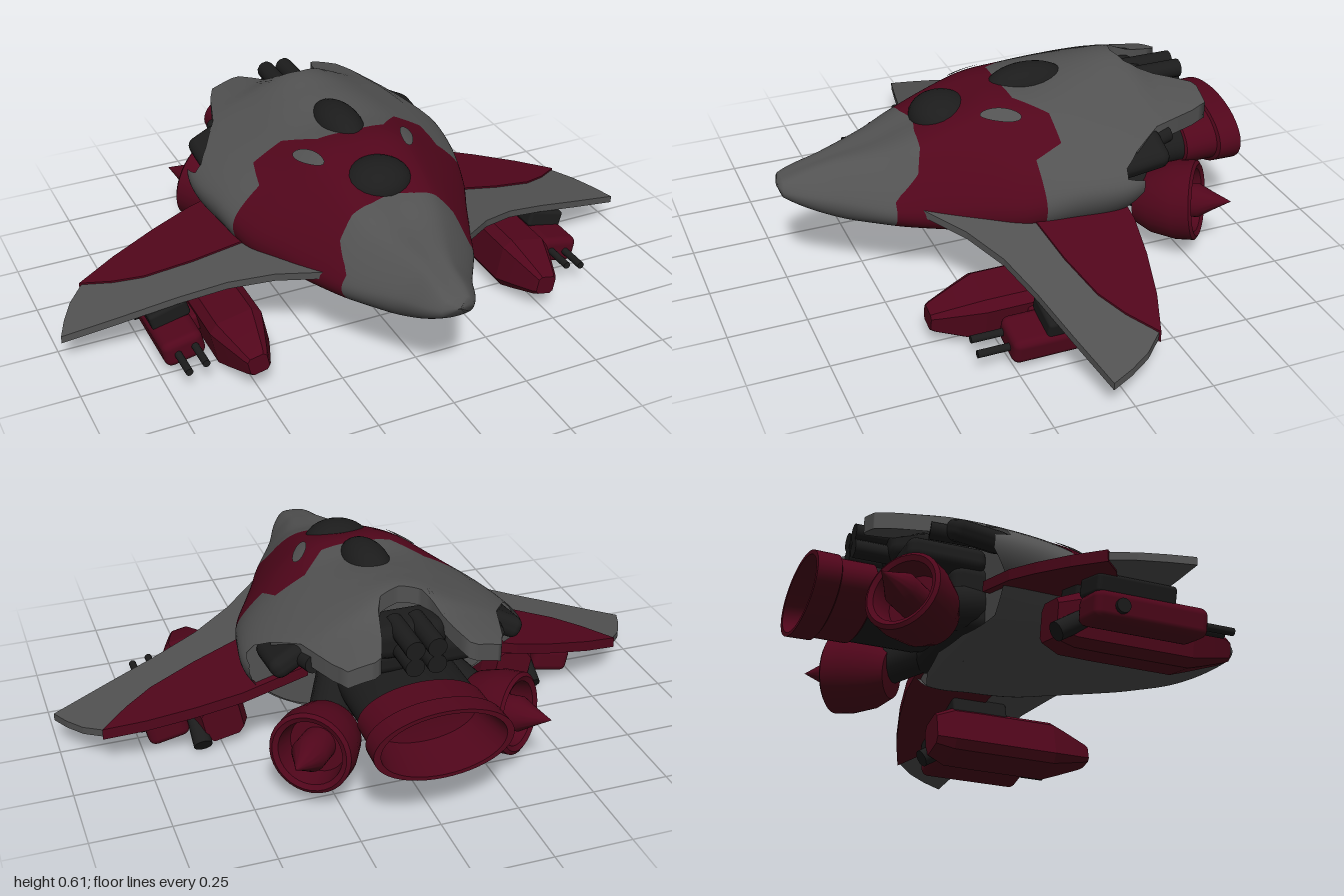
import * as THREE from 'three';
import { ParametricGeometry } from 'three/addons/geometries/ParametricGeometry.js';
import { RoundedBoxGeometry } from 'three/addons/geometries/RoundedBoxGeometry.js';
import { toCreasedNormals } from 'three/addons/utils/BufferGeometryUtils.js';

const paint = (name, color) => new THREE.MeshStandardMaterial({ name, color, side: THREE.DoubleSide });

// Hull stations: z, top y, shoulder x y, widest x y, lower x y, bottom y
const STATIONS = [
  [0.76, 0.36, 0, 0.36, 0, 0.36, 0, 0.36, 0.36],
  [0.75, 0.385, 0.035, 0.38, 0.052, 0.355, 0.04, 0.335, 0.33],
  [0.60, 0.425, 0.06, 0.415, 0.13, 0.33, 0.10, 0.265, 0.25],
  [0.45, 0.455, 0.11, 0.44, 0.22, 0.31, 0.16, 0.235, 0.222],
  [0.35, 0.49, 0.14, 0.47, 0.265, 0.31, 0.20, 0.225, 0.21],
  [0.20, 0.54, 0.16, 0.52, 0.33, 0.33, 0.26, 0.215, 0.19],
  [0.08, 0.583, 0.18, 0.545, 0.385, 0.34, 0.30, 0.205, 0.175],
  [-0.07, 0.582, 0.20, 0.545, 0.425, 0.37, 0.31, 0.20, 0.163],
  [-0.25, 0.608, 0.20, 0.55, 0.45, 0.38, 0.30, 0.20, 0.16],
  [-0.39, 0.618, 0.18, 0.555, 0.41, 0.42, 0.30, 0.30, 0.25],
  [-0.47, 0.575, 0.175, 0.54, 0.37, 0.445, 0.28, 0.36, 0.32],
  [-0.61, 0.54, 0.18, 0.515, 0.33, 0.455, 0.25, 0.42, 0.40],
];

// Smooth interpolation of the station table at any z
function stationAt(z) {
  const S = STATIONS, n = S.length;
  let i = 0;
  while (i < n - 2 && z < S[i + 1][0]) i++;
  const h = S[i + 1][0] - S[i][0], t = THREE.MathUtils.clamp((z - S[i][0]) / h, 0, 1);
  const slope = (k, c) => {
    const a = S[Math.max(k - 1, 0)], b = S[Math.min(k + 1, n - 1)];
    return (b[c] - a[c]) / (b[0] - a[0]) * h;
  };
  const t2 = t * t, t3 = t2 * t;
  return S[i].map((p, c) => (2 * t3 - 3 * t2 + 1) * p + (t3 - 2 * t2 + t) * slope(i, c)
    + (3 * t2 - 2 * t3) * S[i + 1][c] + (t3 - t2) * slope(i + 1, c));
}

// Point on the hull: v = 0 top centre, 1 shoulder, 2 widest, 3 lower edge, 4 keel; negative on the right
function hullPoint(z, v, target) {
  let a = Math.abs(v), sign = v < 0 ? -1 : 1;
  if (a > 4) { a = 8 - a; sign = -sign; }
  const s = stationAt(z);
  const pts = [[-s[2], s[3]], [0, s[1]], [s[2], s[3]], [s[4], s[5]], [s[6], s[7]], [0, s[8]], [-s[6], s[7]]];
  const i = Math.min(Math.floor(a), 3), t = a - i;
  const cr = (c) => {
    const [p, q, r, w] = [0, 1, 2, 3].map((k) => pts[i + k][c]);
    return q + 0.5 * t * (r - p + t * (2 * p - 5 * q + 4 * r - w + t * (3 * (q - r) + w - p)));
  };
  return target.set(sign * cr(0), cr(1), z);
}

// Panel edge: piecewise linear z against |v|
const edge = (table) => (v) => {
  let a = Math.abs(v);
  if (a > 4) a = 8 - a;
  const i = Math.max(1, table.findIndex((p) => p[0] >= a));
  const [p, q] = [table[i - 1], table[i]];
  return p[1] + (q[1] - p[1]) * (a - p[0]) / (q[0] - p[0]);
};
const noseEdge = edge([[0, 0.31], [0.5, 0.33], [1, 0.335], [1.375, 0.36], [1.625, 0.42], [1.75, 0.44], [4, 0.445]]);
const midEdge = edge([[0, 0.03], [0.625, 0.02], [1, -0.07], [1.375, -0.07], [1.5, 0.02], [4, 0.02]]);
const tailEdge = edge([[0, -0.37], [0.375, -0.39], [0.5, -0.43], [0.625, -0.53], [0.75, -0.6], [0.875, -0.61],
  [1.3125, -0.6], [1.4375, -0.54], [1.5, -0.39], [1.625, -0.29], [1.75, -0.24], [1.875, -0.235], [2, -0.29],
  [2.25, -0.29], [2.5, -0.24], [3, -0.23], [3.5, -0.28], [4, -0.3]]);

export function createModel() {
  const red = paint('crimson', 0x51061b), grey = paint('hullGrey', 0x525252), dark = paint('darkMetal', 0x1c1c1c);
  const model = new THREE.Group();

  const add = (parent, name, geo, mat, pos = [0, 0, 0], rotZ = 0) => {
    const m = new THREE.Mesh(geo, mat);
    m.name = name;
    m.position.set(...pos);
    m.rotation.z = rotZ;
    parent.add(m);
    return m;
  };
  const panel = (name, mat, v0, v1, front, back, stacks, drop = 0) =>
    add(model, name, new ParametricGeometry((u, t, p) => {
      const v = v0 + (v1 - v0) * u;
      hullPoint(front(v) + (back(v) - front(v)) * t, v, p);
      p.y -= drop;
    }, Math.round((v1 - v0) * 16), stacks), mat);
  const ellipsoid = (name, mat, pos, r) =>
    add(model, name, new THREE.SphereGeometry(1, 24, 16).scale(...r), mat, pos);
  const turned = (profile, segments = 32) =>
    toCreasedNormals(new THREE.LatheGeometry(profile.map((p) => new THREE.Vector2(...p)), segments), 0.6);
  const block = (w, h, d, r = 0.012) => new RoundedBoxGeometry(w, h, d, 2, r);
  const rod = (parent, name, mat, a, b, r, sides = 14) => {
    const from = new THREE.Vector3(...a), dir = new THREE.Vector3(...b).sub(from);
    const m = add(parent, name, new THREE.CylinderGeometry(r, r, dir.length(), sides), mat);
    m.position.copy(from).addScaledVector(dir, 0.5);
    m.quaternion.setFromUnitVectors(new THREE.Vector3(0, 1, 0), dir.normalize());
    return m;
  };

  // Hull skin
  panel('nose', grey, -4, 4, () => 0.76, noseEdge, 28);
  panel('forwardArmour', red, -3, 3, noseEdge, midEdge, 20);
  panel('belly', grey, 3, 5, noseEdge, midEdge, 16);
  panel('rearHull', grey, -4, 4, midEdge, tailEdge, 28);
  // Underside and rim give the tail cowl thickness
  const cowlDepth = 0.055;
  panel('cowlLining', grey, -1.625, 1.625, () => -0.24, tailEdge, 16, cowlDepth);
  add(model, 'cowlRim', new ParametricGeometry((u, t, p) => {
    const v = -1.625 + 3.25 * u;
    hullPoint(tailEdge(v), v, p);
    p.y -= cowlDepth * t;
  }, 52, 1), grey);

  // Rear bulkhead and machinery
  const p = new THREE.Vector3();
  const outline = Array.from({ length: 49 }, (_, i) => {
    hullPoint(-0.225, 1 + i / 8, p);
    return new THREE.Vector2(p.x, p.y);
  });
  add(model, 'bulkhead', new THREE.ShapeGeometry(new THREE.Shape(outline)).rotateY(Math.PI)
    .scale(0.99, 1, 1), grey, [0, 0, -0.225]);
  add(model, 'rearFrame', block(0.42, 0.22, 0.16, 0.04), dark, [0, 0.295, -0.25]);
  add(model, 'cowlMachinery', block(0.44, 0.08, 0.26, 0.03), dark, [0, 0.425, -0.35]);
  add(model, 'cannonHub', block(0.23, 0.11, 0.15, 0.04), dark, [0, 0.495, -0.425]);

  // Dark domes along the spine
  ellipsoid('cockpit', dark, [0, 0.497, 0.215], [0.112, 0.076, 0.105]);
  ellipsoid('spineCanopy', dark, [0, 0.555, -0.075], [0.076, 0.07, 0.14]);

  // Main engine, flattened
  const engine = (profile) => turned(profile, 48).rotateX(-Math.PI / 2).scale(1, 0.52, 1);
  add(model, 'engineBody', engine([[0, 0.22], [0.16, 0.25], [0.19, 0.35], [0.19, 0.57]]), dark, [0, 0.3, 0]);
  add(model, 'mainNozzle', engine([[0.18, 0.56], [0.2, 0.57], [0.2, 0.68], [0.215, 0.685], [0.217, 0.76],
    [0.195, 0.76], [0.165, 0.6], [0, 0.585]]), red, [0, 0.3, 0]);

  // Mirrored parts
  const wingPlate = (pts, thick) => {
    const shape = new THREE.Shape(pts.map(([x, z]) => new THREE.Vector2(x, -z)));
    const g = new THREE.ExtrudeGeometry(shape, { depth: thick, bevelEnabled: false }).rotateX(-Math.PI / 2);
    const pos = g.attributes.position;
    for (let i = 0; i < pos.count; i++) {
      pos.setY(i, pos.getY(i) - thick / 2 + 0.31 - 0.275 * (pos.getX(i) - 0.25));
    }
    g.computeVertexNormals();
    return g;
  };
  // Square body with chamfered corners and a tapered nose
  const podBody = () => {
    const g = new THREE.LatheGeometry([[0, -0.14], [0.07, -0.14], [0.096, -0.08], [0.098, 0.02], [0.098, 0.29],
      [0.08, 0.34], [0.045, 0.43], [0.036, 0.445], [0, 0.445]].map((q) => new THREE.Vector2(...q)), 8, Math.PI / 8)
      .rotateX(Math.PI / 2);
    const pos = g.attributes.position;
    for (let i = 0; i < pos.count; i++) {
      const x = pos.getX(i), y = pos.getY(i);
      if (Math.abs(x) < Math.abs(y)) pos.setX(i, x * 1.65);
      else pos.setY(i, y * 1.65);
    }
    return toCreasedNormals(g, 0.3);
  };
  for (const side of [1, -1]) {
    const half = new THREE.Group();
    half.name = side > 0 ? 'leftSide' : 'rightSide';
    half.scale.x = side;
    model.add(half);

    // Wing
    add(half, 'wingLeadingEdge', wingPlate([[0.2, 0.41], [0.25, 0.37], [0.37, 0.27], [0.5, 0.2], [0.65, 0.155],
      [0.82, 0.115], [1, 0.07], [0.97, 0], [0.93, -0.07], [0.875, -0.13], [0.79, -0.07], [0.7, -0.02],
      [0.55, 0.02], [0.37, 0.05], [0.2, 0.07]], 0.024), grey);
    add(half, 'wingPanel', wingPlate([[0.2, 0.08], [0.37, 0.055], [0.55, 0.025], [0.7, -0.015], [0.79, -0.065],
      [0.88, -0.135], [0.75, -0.185], [0.6, -0.225], [0.46, -0.25], [0.25, -0.25]], 0.036), red);

    // Shoulder vent
    add(half, 'vent', new ParametricGeometry((u, t, q) => {
      const a = u * Math.PI * 2, r = 0.02 + 0.98 * t, z = 0.08 + 0.06 * r * Math.sin(a);
      hullPoint(z, 0.95 + 0.12 * r * Math.cos(a) - (z - 0.08) * 1.2, q);
      q.y += 0.006;
    }, 24, 3), grey);

    // Weapon pod under the wing
    add(half, 'weaponPod', podBody().scale(0.95, 0.92, 1), red, [0.5, 0.107, 0], -0.2);
    add(half, 'podPylon', block(0.12, 0.07, 0.2), dark, [0.505, 0.2, 0.02], -0.27);
    add(half, 'gunPod', block(0.135, 0.09, 0.36, 0.025), red, [0.667, 0.085, 0.08], -0.2);
    add(half, 'gunMount', block(0.13, 0.06, 0.25), dark, [0.675, 0.15, 0.03], -0.27);
    add(half, 'podLink', block(0.12, 0.06, 0.2), red, [0.6, 0.1, 0.06], -0.2);
    for (const [x, y] of [[0.635, 0.095], [0.69, 0.08]]) {
      rod(half, 'gunBarrel', dark, [x, y, 0.2], [x, y, 0.36], 0.012);
    }
    rod(half, 'podThruster', dark, [0.57, 0.11, -0.04], [0.57, 0.04, -0.15], 0.03);
    rod(half, 'podBolt', dark, [0.6, 0.085, -0.02], [0.745, 0.07, -0.02], 0.022);

    // Angled side thruster
    const thruster = new THREE.Group();
    thruster.name = 'sideThruster';
    thruster.position.set(0.335, 0.202, -0.535);
    thruster.quaternion.setFromUnitVectors(new THREE.Vector3(0, 1, 0), new THREE.Vector3(0.62, 0.12, -0.775).normalize());
    half.add(thruster);
    add(thruster, 'thrusterShell', turned([[0, -0.2], [0.08, -0.195], [0.112, -0.14], [0.13, -0.06], [0.13, 0],
      [0.118, 0.008], [0.102, 0], [0.09, -0.07], [0, -0.07]]), red);
    add(thruster, 'thrusterSpike', turned([[0.055, -0.07], [0.055, 0.01], [0.03, 0.055], [0, 0.115]]), red);
    rod(half, 'thrusterStrut', dark, [0.15, 0.28, -0.25], [0.24, 0.21, -0.42], 0.07);

    // Cowl side intake and tail cannon
    const intake = add(half, 'sideIntake', block(0.13, 0.07, 0.19, 0.03), dark, [0.345, 0.425, -0.305], -0.5);
    intake.rotation.x = 0.12;
    rod(half, 'intakePipe', dark, [0.34, 0.42, -0.22], [0.29, 0.445, -0.44], 0.028);
    for (const y of [0.475, 0.53]) {
      rod(half, 'tailCannon', dark, [0.034, y, -0.42], [0.034, y, -0.605], 0.03);
    }
  }
  return model;
}
